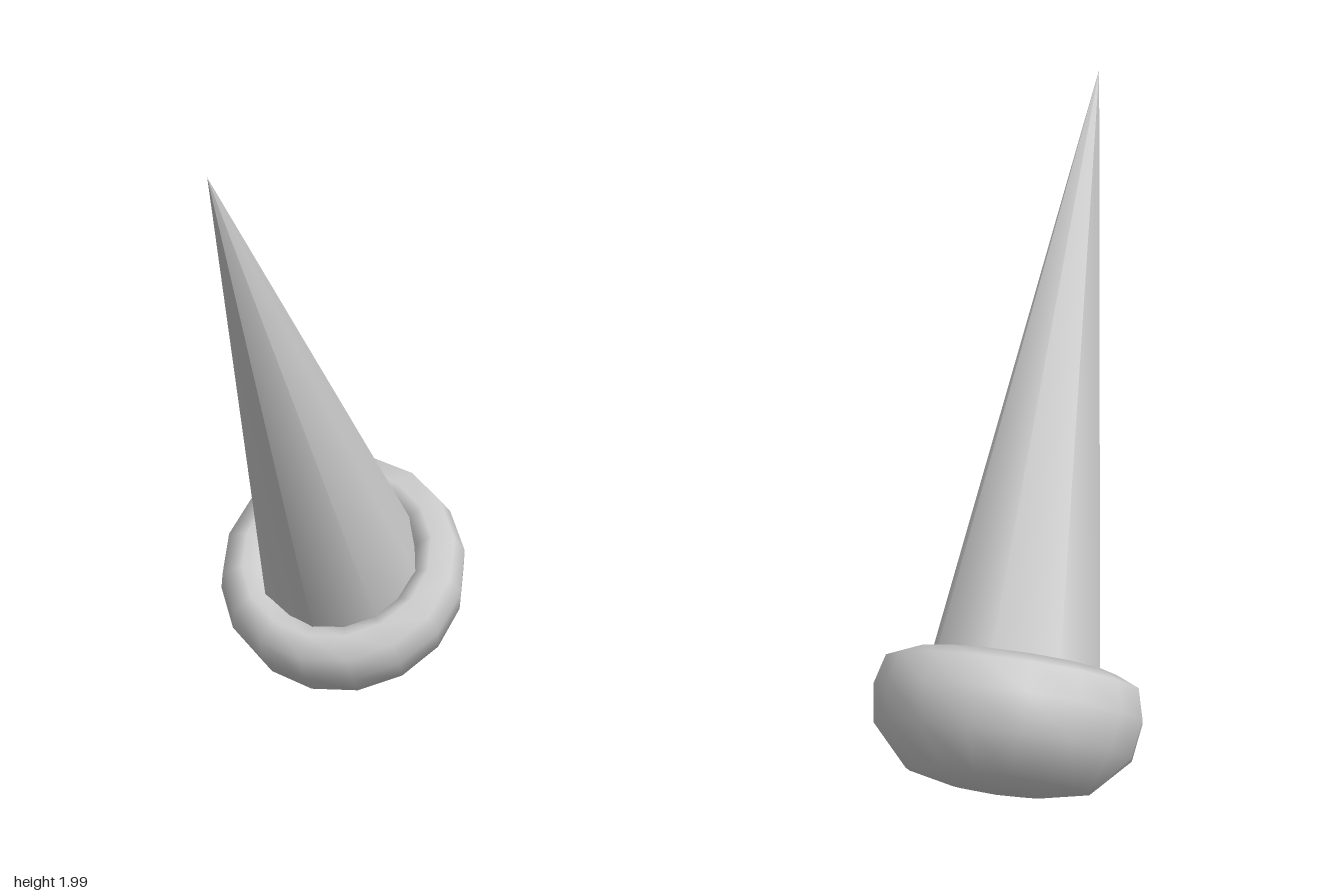
import * as THREE from 'three';

export function createModel() {
  const model = new THREE.Group();
  const material = new THREE.MeshStandardMaterial({ color: 0xcccccc, side: THREE.DoubleSide });

  // Everything shares one axis, leaning 30 degrees towards the front
  const horn = new THREE.Group();
  horn.name = 'leaningHorn';
  horn.position.set(0, 0.4, -0.25);
  horn.rotation.x = Math.PI / 6;
  model.add(horn);

  // Eight-sided spike; its foot is sunk a little into the collar
  const length = 1.846, radius = 0.254, sunk = 0.06;
  const height = length + sunk;
  const spike = new THREE.Mesh(
    new THREE.ConeGeometry(radius * height / length, height, 8), material);
  spike.name = 'spike';
  spike.position.y = height / 2 - sunk;
  horn.add(spike);

  // Rounded base: shallow dome underneath, swelling side and rolled lip
  const profile = [
    [0, -0.341], [0.13, -0.332], [0.262, -0.304], [0.37, -0.193], [0.387, -0.085],
    [0.365, 0], [0.297, 0.03], [0.25, 0], [0.22, -0.06],
  ].map(([r, y]) => new THREE.Vector2(r, y));
  const collar = new THREE.Mesh(new THREE.LatheGeometry(profile, 16), material);
  collar.name = 'collar';
  horn.add(collar);

  return model;
}
